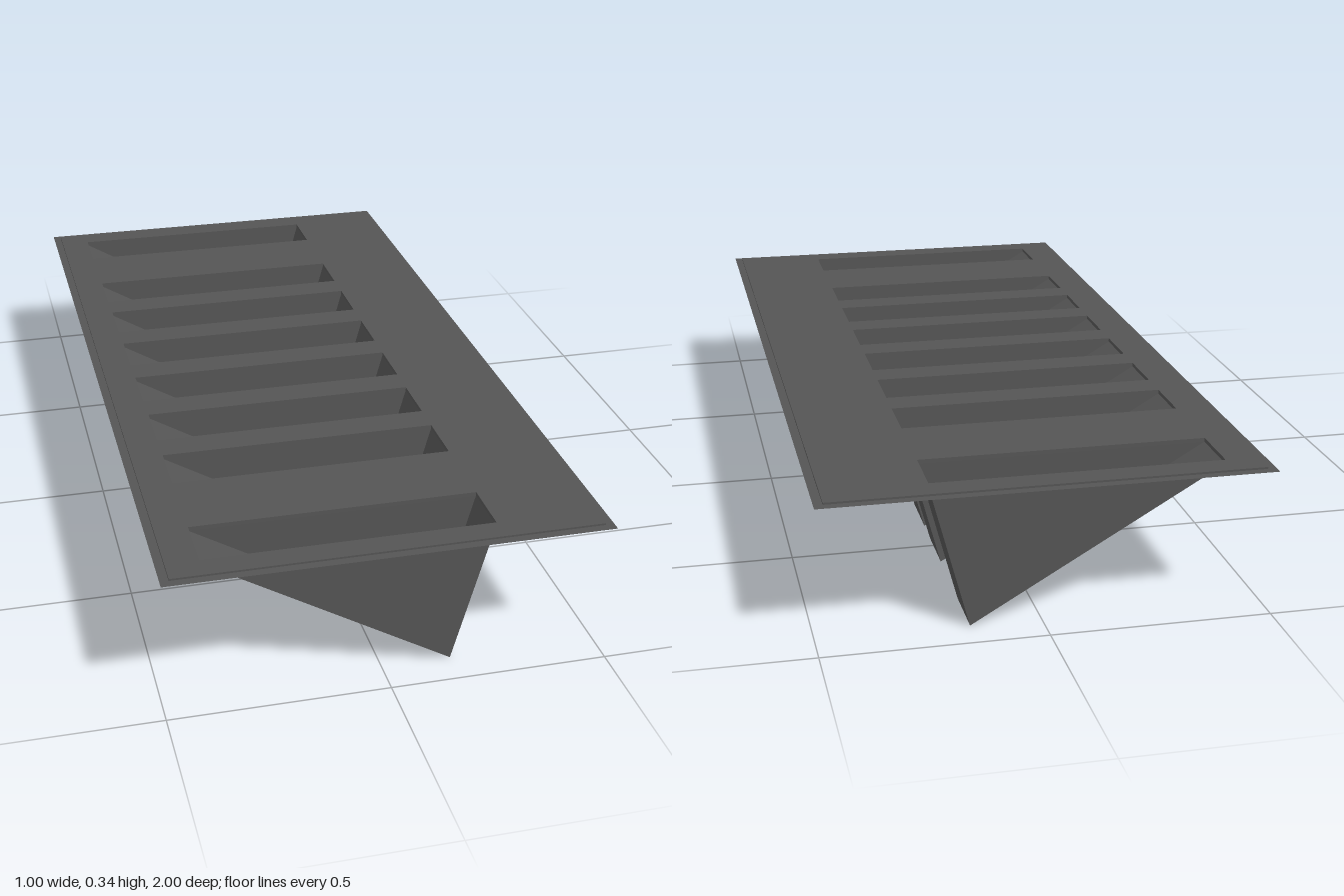
import * as THREE from 'three';

const TOP = 0.342, BOTTOM = 0.333;
const SLOT = { x0: -0.405, x1: 0.25, tip: 0.16, half: 0.067 };
const SLOT_Z = [0.105, 0.315, 0.525, 0.855].flatMap(z => [z, -z]);

// Counter-clockwise rectangle
function rect(PathType, x0, x1, y0, y1) {
  const p = new PathType();
  p.moveTo(x0, y0);
  p.lineTo(x1, y0);
  p.lineTo(x1, y1);
  p.lineTo(x0, y1);
  p.closePath();
  return p;
}

// Open-topped wedge: two triangular cheeks, a long ramp and a steep end wall
function pocketGeometry() {
  const { x0, x1, tip, half } = SLOT;
  const corner = (x, y) => [[x, y, half], [x, y, -half]];
  const [aF, aB] = corner(x0, BOTTOM);
  const [bF, bB] = corner(tip, 0);
  const [cF, cB] = corner(x1, BOTTOM);
  const triangles = [
    aF, bF, cF,
    aB, cB, bB,
    aF, aB, bB, aF, bB, bF,
    bF, bB, cB, bF, cB, cF,
  ];
  const g = new THREE.BufferGeometry();
  g.setAttribute('position', new THREE.Float32BufferAttribute(triangles.flat(), 3));
  g.computeVertexNormals();
  return g;
}

export function createModel() {
  const model = new THREE.Group();
  model.name = 'slottedTray';
  const material = new THREE.MeshStandardMaterial({ color: 0x555555, side: THREE.DoubleSide });

  const add = (name, geometry, z = 0) => {
    const mesh = new THREE.Mesh(geometry, material);
    mesh.name = name;
    mesh.position.z = z;
    model.add(mesh);
  };

  // Thin plate pierced by the slots
  const plate = rect(THREE.Shape, -0.48, 0.48, -0.98, 0.98);
  for (const z of SLOT_Z) {
    plate.holes.push(rect(THREE.Path, SLOT.x0, SLOT.x1, z - SLOT.half, z + SLOT.half));
  }
  const plateGeometry = new THREE.ExtrudeGeometry(plate, { depth: TOP - BOTTOM, bevelEnabled: false });
  add('plate', plateGeometry.rotateX(-Math.PI / 2).translate(0, BOTTOM, 0));

  // Paper-thin flange around the plate
  const flange = rect(THREE.Shape, -0.5, 0.5, -1, 1);
  flange.holes.push(rect(THREE.Path, -0.48, 0.48, -0.98, 0.98));
  add('flange', new THREE.ShapeGeometry(flange).rotateX(-Math.PI / 2).translate(0, (TOP + BOTTOM) / 2, 0));

  // Wedge pockets hanging below the slots
  const pocket = pocketGeometry();
  for (const z of SLOT_Z) add('pocket', pocket, z);

  return model;
}
